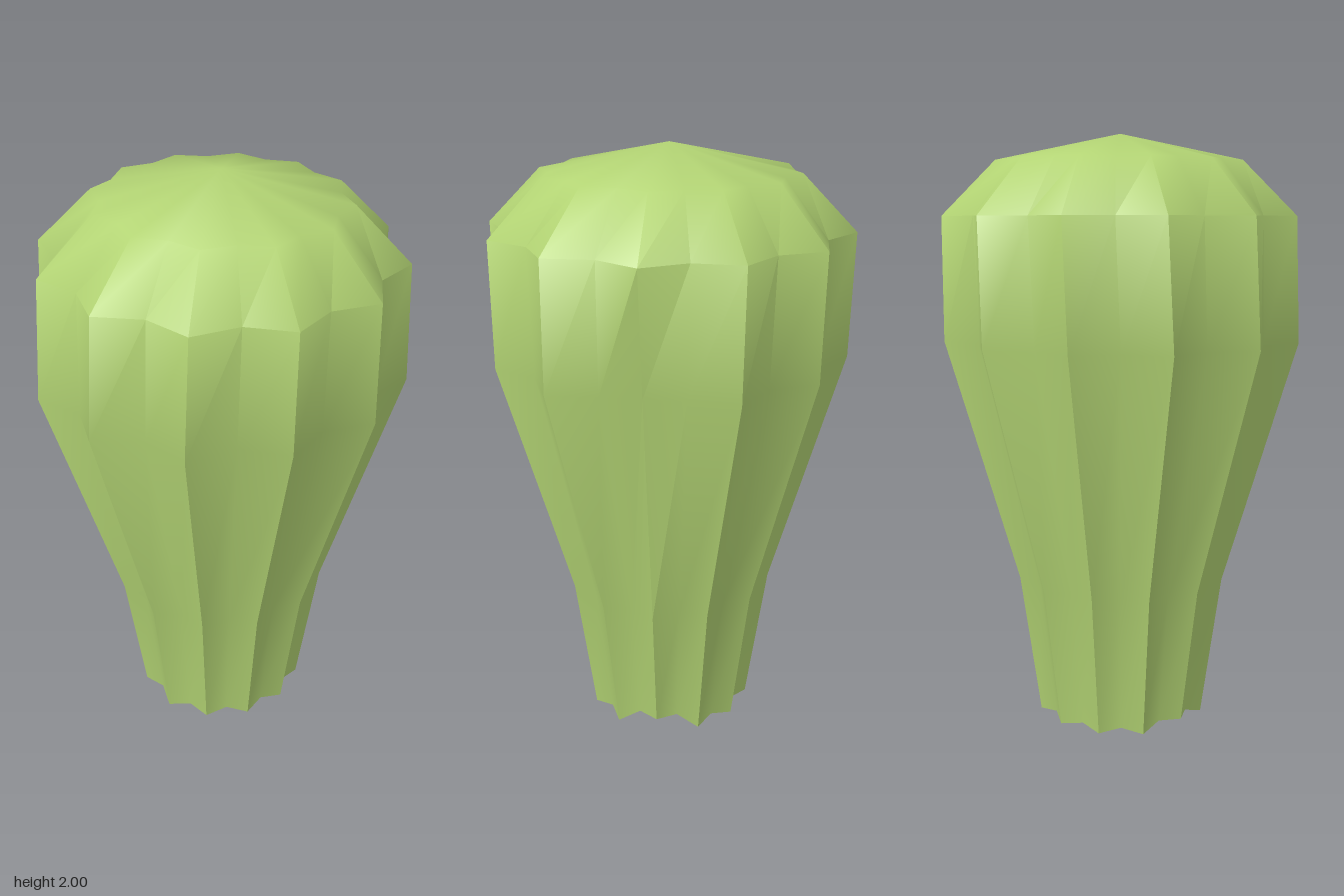
import * as THREE from 'three';
import { toCreasedNormals } from 'three/addons/utils/BufferGeometryUtils.js';

const RIBS = 12;
const CENTRE_X = 0.015;

// Rings from the open foot to the shoulder: height, ridge radius in x and z, groove depth ratio
const RINGS = [
  { y: 0.01, rx: 0.30, rz: 0.285, groove: 0.89 },
  { y: 0.49, rx: 0.37, rz: 0.355, groove: 0.88 },
  { y: 1.32, rx: 0.62, rz: 0.592, groove: 0.87 },
  { y: 1.73, rx: 0.593, rz: 0.602, groove: 0.885 },
  { y: 1.91, rx: 0.41, rz: 0.425, groove: 0.91 },
];

function ribbedBody() {
  const n = RIBS * 2;
  const positions = [];
  const index = [];

  RINGS.forEach((ring, j) => {
    for (let i = 0; i < n; i++) {
      const a = (i / n) * Math.PI * 2;
      let k = i % 2 ? ring.groove : 1;
      let y = ring.y;
      // the rib on the left side runs straight past the widest ring
      if (j === 2 && i === 0) k = 0.85;
      // slightly uneven hem, raised on the sides
      if (j === 0) {
        const c = Math.cos(a);
        y = c > 0.95 ? 0.045 : c < -0.95 ? 0.025 : i % 2 ? 0.012 : 0;
      }
      positions.push(CENTRE_X + Math.cos(a) * ring.rx * k, y, Math.sin(a) * ring.rz * k);
    }
  });

  // walls
  for (let j = 0; j < RINGS.length - 1; j++) {
    for (let i = 0; i < n; i++) {
      const a = j * n + i;
      const b = j * n + ((i + 1) % n);
      index.push(a, a + n, b, b, a + n, b + n);
    }
  }

  // low cone closing the crown
  const apex = positions.length / 3;
  positions.push(CENTRE_X, 2, 0);
  const top = (RINGS.length - 1) * n;
  for (let i = 0; i < n; i++) index.push(top + i, apex, top + ((i + 1) % n));

  const geometry = new THREE.BufferGeometry();
  geometry.setAttribute('position', new THREE.Float32BufferAttribute(positions, 3));
  geometry.setIndex(index);
  // sharp ridges, soft grooves
  return toCreasedNormals(geometry, THREE.MathUtils.degToRad(50));
}

export function createModel() {
  const green = new THREE.MeshStandardMaterial({ color: 0xb2d373, side: THREE.DoubleSide });
  green.name = 'cactusGreen';

  const body = new THREE.Mesh(ribbedBody(), green);
  body.name = 'cactusBody';

  const group = new THREE.Group();
  group.name = 'cactus';
  group.add(body);
  return group;
}
